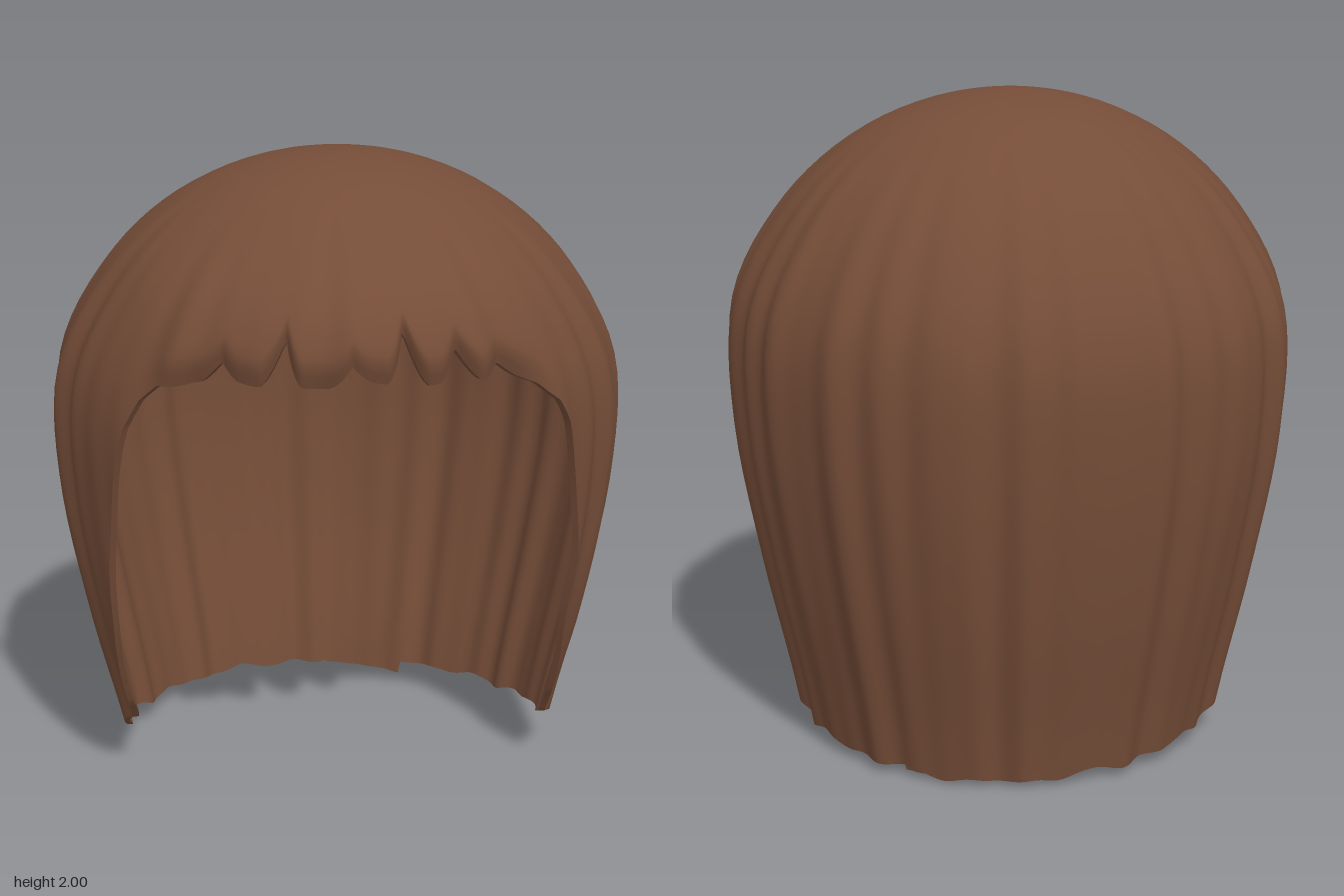
import * as THREE from 'three';

const COLS = 480, ROWS = 36, RAD = Math.PI / 180;

// Half-width, front and back extents, sampled every 0.2 of q = sqrt(2 - y)
const WIDTH = [0, 0.27, 0.515, 0.715, 0.855, 0.86, 0.785, 0.675, 0.6];
const FRONT = [0.07, 0.33, 0.56, 0.775, 0.835, 0.81, 0.75, 0.42, 0.3];
const BACK = [0.07, -0.22, -0.46, -0.665, -0.8, -0.815, -0.765, -0.665, -0.6];

// Hem height by angle from the front, in degrees: fringe, face opening, sides, nape
const HEM = [[0, 1.48], [34, 1.47], [41, 1.44], [45, 1.38], [48, 1.29], [51, 1.13], [54, 0.95], [58, 0.76],
  [62, 0.56], [67, 0.29], [72, 0.19], [80, 0.14], [90, 0.12], [105, 0.08], [130, 0.045], [180, 0.015]];

// Notches between fringe locks: angle and height
const NOTCHES = [[-28, 0.05], [-14.5, 0.13], [0, 0.05], [11.5, 0.16], [23, 0.09], [32.5, 0.03]];

// Smooth (Catmull-Rom) lookup in a profile table
function sample(table, q) {
  const s = Math.min(q / 0.2, table.length - 1.001), i = Math.floor(s), f = s - i;
  const b = table[i], c = table[i + 1];
  const a = i > 0 ? table[i - 1] : 2 * b - c;
  const d = i + 2 < table.length ? table[i + 2] : 2 * c - b;
  return b + 0.5 * f * (c - a + f * (2 * a - 5 * b + 4 * c - d + f * (3 * (b - c) + d - a)));
}

function hemHeight(deg) {
  const a = Math.abs(deg);
  let k = 1;
  while (k < HEM.length - 1 && HEM[k][0] < a) k++;
  const [a0, y0] = HEM[k - 1], [a1, y1] = HEM[k];
  let y = y0 + (y1 - y0) * (a - a0) / (a1 - a0);
  for (const [at, h] of NOTCHES) y += h * Math.max(0, 1 - Math.abs(deg - at) / 4.5) ** 1.5;
  // small unevenness of the cut
  return y + 0.006 * Math.sin(deg * RAD * 23) + 0.006 * Math.sin(deg * RAD * 14 + 1);
}

// Point on the hair surface at an angle and height; inset moves it inward
function hairPoint(deg, y, inset, curl = 0) {
  const t = deg * RAD, q = Math.sqrt(Math.max(0, 2 - y));
  const fold = 0.45 * Math.sin(27 * t + 0.6 * y) + 0.4 * Math.sin(17 * t + 1 - 0.5 * y) + 0.3 * Math.sin(38 * t + 2);
  const scale = 1 + 0.018 * THREE.MathUtils.smoothstep(q, 0.15, 0.9) * fold - inset / 0.85 - curl;
  const centre = 0.07 * Math.max(0, 1 - q / 0.8);
  const reach = Math.cos(t) > 0 ? sample(FRONT, q) - centre : centre - sample(BACK, q);
  return [sample(WIDTH, q) * scale * Math.sin(t), y - inset * Math.max(0, 1 - q / 0.8),
    centre + reach * scale * Math.cos(t)];
}

// Grid of points(i, j); columns run around, rows run down
function gridGeometry(cols, rows, point, closed, flip) {
  const pos = [], index = [], n = closed ? cols : cols + 1;
  for (let j = 0; j <= rows; j++) for (let i = 0; i < n; i++) pos.push(...point(i, j));
  for (let j = 0; j < rows; j++) {
    for (let i = 0; i < cols; i++) {
      const k = (i + 1) % n;
      const a = j * n + i, b = a + n, c = (j + 1) * n + k, d = j * n + k;
      if (flip) index.push(a, c, b, a, d, c);
      else index.push(a, b, c, a, c, d);
    }
  }
  const g = new THREE.BufferGeometry();
  g.setAttribute('position', new THREE.Float32BufferAttribute(pos, 3));
  g.setIndex(index);
  g.computeVertexNormals();
  return g;
}

export function createModel() {
  const group = new THREE.Group();
  group.name = 'hair';
  const brown = new THREE.MeshStandardMaterial({ color: 0x754d38, side: THREE.DoubleSide });
  brown.name = 'brown hair';
  const add = (name, geometry) => {
    const mesh = new THREE.Mesh(geometry, brown);
    mesh.name = name;
    group.add(mesh);
  };

  // Shell point: rows follow each column from the crown to the hem
  const shell = (i, j, inset) => {
    const deg = i * 360 / COLS - 180, v = j / ROWS;
    const fringe = 1 - THREE.MathUtils.smoothstep(Math.abs(deg), 36, 46);
    const curl = 0.045 * fringe * THREE.MathUtils.smoothstep(v, 0.92, 1.02);
    return hairPoint(deg, 2 - (2 - hemHeight(deg)) * v * v, inset, curl);
  };
  const THICK = 0.022;
  add('outerHair', gridGeometry(COLS, ROWS, (i, j) => shell(i, j, 0), true, false));
  add('innerHair', gridGeometry(COLS, ROWS, (i, j) => shell(i, j, THICK), true, true));
  add('hemEdge', gridGeometry(COLS, 1, (i, j) => shell(i, ROWS, j * THICK), true, false));

  // Loose lock inside the nape
  add('napeLock', gridGeometry(12, 6, (i, j) => {
    const deg = 180 - i * 2 - (1 - j / 6) * 2.5;
    return hairPoint(deg, 0.2 - j * 0.03 - 0.02 * i / 12, 0.045);
  }, false, false));

  return group;
}
